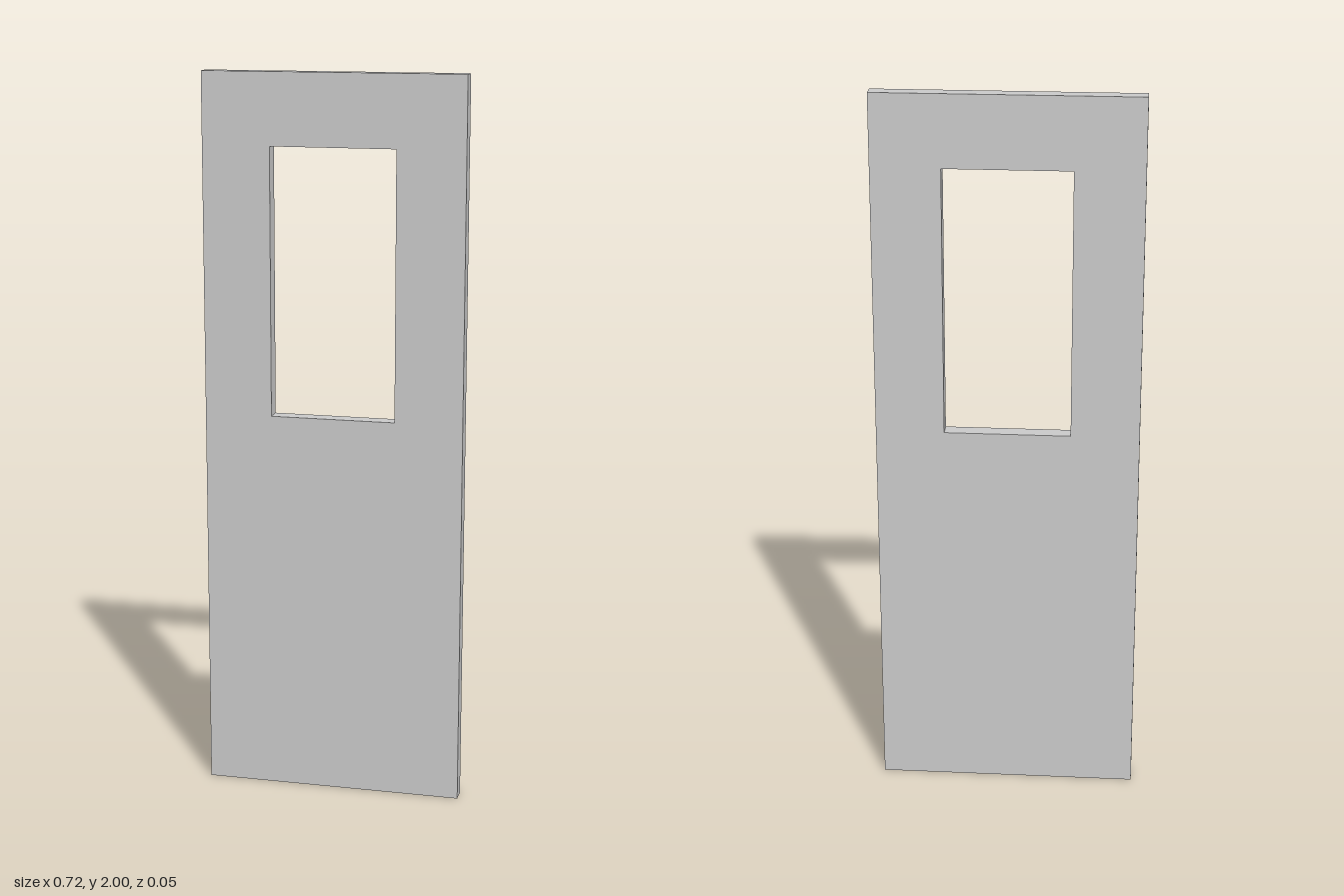
import * as THREE from 'three';

const WIDTH = 0.718, HEIGHT = 2, DEPTH = 0.045;
const WINDOW = { width: 0.344, bottom: 1.07, top: 1.804 };

// Rectangle centred on x, wound counter-clockwise
function rectangle(PathType, width, bottom, top) {
  const w = width / 2;
  return new PathType([
    new THREE.Vector2(-w, bottom),
    new THREE.Vector2(w, bottom),
    new THREE.Vector2(w, top),
    new THREE.Vector2(-w, top),
  ]).closePath();
}

export function createModel() {
  const group = new THREE.Group();
  group.name = 'door';

  // Flat door leaf with a window opening cut through it
  const outline = rectangle(THREE.Shape, WIDTH, 0, HEIGHT);
  outline.holes.push(rectangle(THREE.Path, WINDOW.width, WINDOW.bottom, WINDOW.top));

  const geometry = new THREE.ExtrudeGeometry(outline, { depth: DEPTH, bevelEnabled: false });
  geometry.translate(0, 0, -DEPTH / 2);

  const leaf = new THREE.Mesh(geometry, new THREE.MeshStandardMaterial({ color: 0xcccccc }));
  leaf.name = 'doorLeaf';
  group.add(leaf);
  return group;
}
